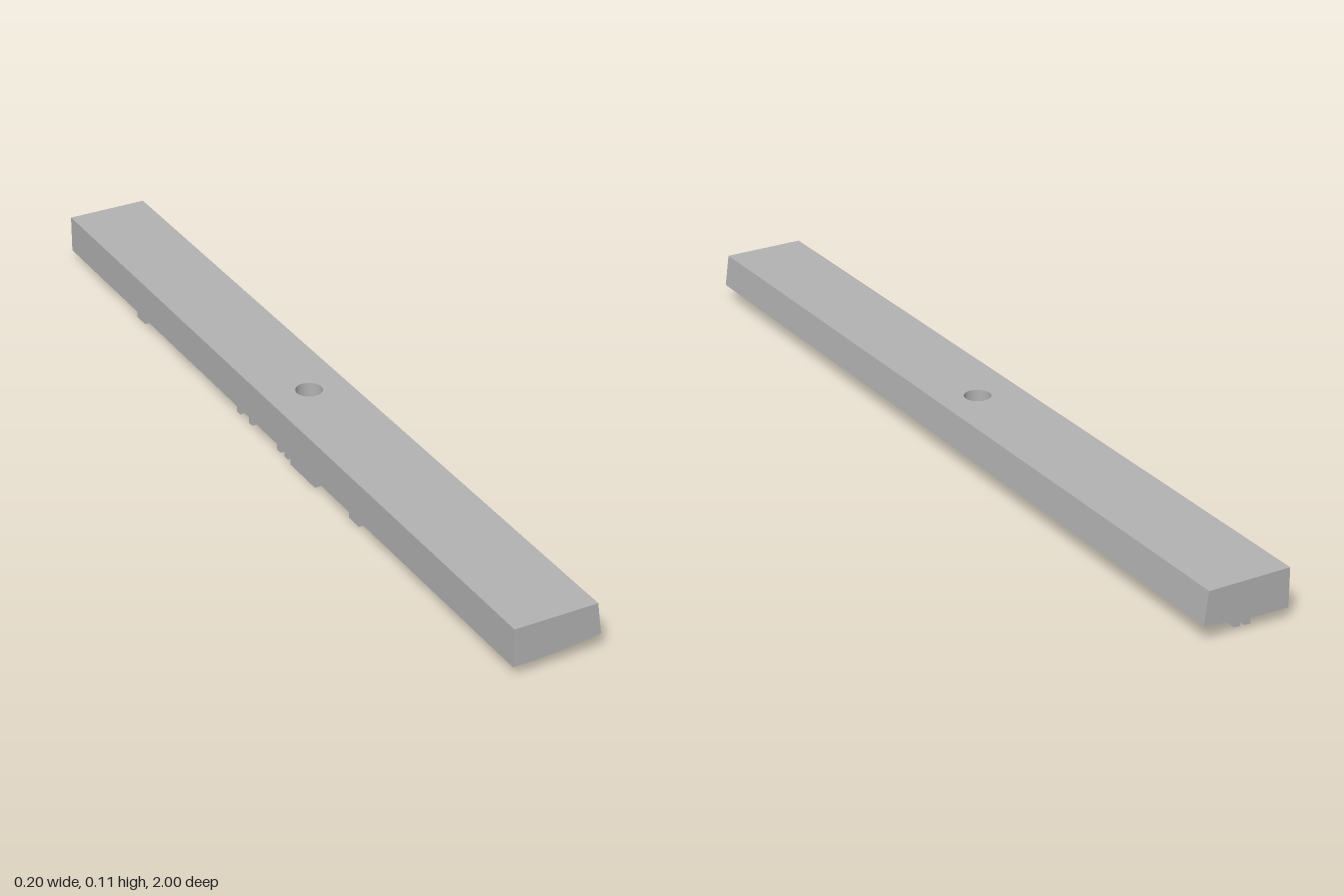
import * as THREE from 'three';

const TOP = 0.115, RELIEF = 0.026;
// Height of the gently curved underside at a given x
const under = (x) => 0.028 + 0.39 * Math.max(0, x + 0.09) ** 2;

export function createModel() {
  const group = new THREE.Group();
  const grey = new THREE.MeshStandardMaterial({ color: 0xb2b2b2, flatShading: true });
  grey.name = 'grey';

  const add = (name, geometry, parent = group) => {
    const mesh = new THREE.Mesh(geometry, grey);
    mesh.name = name;
    parent.add(mesh);
    return mesh;
  };

  // Long bar halves: sloped left side, curved underside
  const profile = new THREE.Shape();
  profile.moveTo(0.09, TOP);
  profile.lineTo(-0.1, TOP);
  for (let i = 0; i <= 20; i++) {
    const x = -0.1 + i * 0.01;
    profile.lineTo(x, under(x));
  }
  const half = 0.04;
  for (const [name, z] of [['frontBar', half], ['backBar', -1]]) {
    const bar = new THREE.ExtrudeGeometry(profile, { depth: 1 - half, bevelEnabled: false });
    bar.translate(0, 0, z);
    add(name, bar);
  }

  // Middle section with the round through hole
  const plan = new THREE.Shape();
  plan.moveTo(-0.1, -half);
  for (let i = 1; i <= 20; i++) plan.lineTo(-0.1 + i * 0.01, -half);
  for (let i = 20; i >= 0; i--) plan.lineTo(-0.1 + i * 0.01, half);
  const hole = new THREE.Path();
  hole.absarc(0, 0, 0.03, 0, Math.PI * 2, true);
  plan.holes.push(hole);
  const middle = new THREE.ExtrudeGeometry(plan, { depth: 1, bevelEnabled: false, curveSegments: 24 });
  middle.rotateX(-Math.PI / 2);
  const p = middle.attributes.position;
  for (let i = 0; i < p.count; i++) {
    const x = p.getX(i), isTop = p.getY(i) > 0.5;
    p.setY(i, isTop ? TOP : under(x));
    if (isTop && x > 0.095) p.setX(i, 0.09);
  }
  middle.computeVertexNormals();
  add('middleBar', middle);

  // Raised blocks whose lower faces follow the curved underside
  const block = (name, parent, x0, x1, z0, z1) => {
    const g = new THREE.BoxGeometry(x1 - x0, 1, z1 - z0, 4, 1, 1);
    g.translate((x0 + x1) / 2, 0, (z0 + z1) / 2);
    const q = g.attributes.position;
    for (let i = 0; i < q.count; i++) {
      const y = under(q.getX(i));
      q.setY(i, q.getY(i) > 0 ? y + 0.004 : y - RELIEF);
    }
    g.computeVertexNormals();
    add(name, g, parent);
  };
  const cluster = (name, z, blocks) => {
    const c = new THREE.Group();
    c.name = name;
    c.position.z = z;
    blocks.forEach((b) => block('raisedBlock', c, ...b));
    group.add(c);
  };

  // Pinwheel clusters, repeated on both halves
  for (const z of [0.395, -0.61]) {
    cluster('pinwheelCluster', z, [
      [-0.002, 0.013, -0.056, 0.005],
      [-0.035, 0.013, 0.04, 0.056],
      [-0.035, -0.02, -0.015, 0.056],
      [-0.06, 0.013, -0.01, 0.005],
      [-0.09, -0.035, -0.03, -0.015],
      [-0.09, -0.075, -0.056, -0.015],
    ]);
  }
  // Cross bars
  for (const z of [0.69, -0.312]) cluster('crossBar', z, [[-0.035, 0.04, -0.008, 0.008]]);
  // Edge bar
  cluster('edgeBar', 0.145, [[-0.095, -0.08, -0.055, 0.055]]);
  // Pair of small posts
  cluster('postPair', 0.887, [[0.05, 0.068, -0.008, 0.008], [0.012, 0.03, -0.008, 0.008]]);
  // Small U-shaped clusters
  for (const [x, z] of [[-0.025, -0.955], [-0.09, 0.045]]) {
    cluster('smallCluster', z, [
      [x, x + 0.06, 0.01, 0.025],
      [x + 0.025, x + 0.04, -0.025, 0.025],
      [x, x + 0.015, -0.025, -0.008],
    ]);
  }
  // Wider stepped cluster
  cluster('steppedCluster', -0.13, [
    [-0.05, -0.035, -0.036, 0.036],
    [-0.09, -0.035, 0.02, 0.036],
    [-0.09, -0.05, -0.036, -0.02],
    [-0.075, -0.05, -0.008, 0.008],
  ]);
  return group;
}
